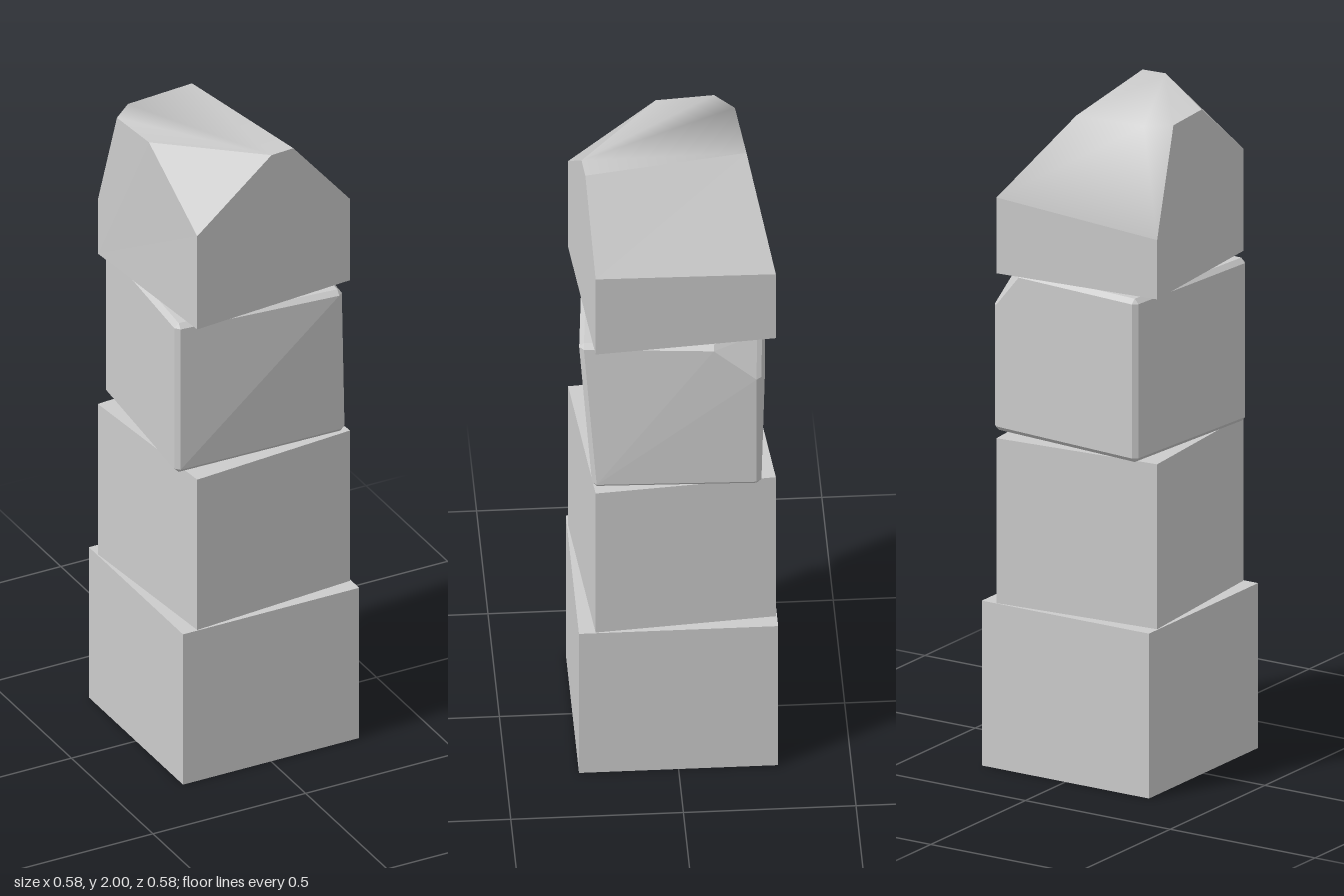
import * as THREE from 'three';
import { ConvexGeometry } from 'three/addons/geometries/ConvexGeometry.js';

const TWIST = 0.0855; // each upper block is turned a little on the stack
const HALF = 0.2635;

const grey = (flatShading = false) => new THREE.MeshStandardMaterial({ color: 0xcccccc, flatShading });

function addMesh(parent, name, geometry, flat) {
  const mesh = new THREE.Mesh(geometry, grey(flat));
  mesh.name = name;
  parent.add(mesh);
  return mesh;
}

// Fans polygons, listed as vertex names, into an indexed geometry
function polygons(points, faces) {
  const names = Object.keys(points);
  const index = [];
  for (const face of faces) {
    const ids = face.split(' ').map((n) => names.indexOf(n));
    for (let i = 1; i < ids.length - 1; i++) index.push(ids[0], ids[i], ids[i + 1]);
  }
  const geometry = new THREE.BufferGeometry();
  geometry.setAttribute('position', new THREE.Float32BufferAttribute(names.flatMap((n) => points[n]), 3));
  geometry.setIndex(index);
  geometry.computeVertexNormals();
  return geometry;
}

// Block with narrow chamfers: three points around every corner
function chamferedHull(corners, midY, bevel) {
  const points = [];
  for (const c of corners) {
    const inward = [-Math.sign(c[0]), -Math.sign(c[1] - midY), -Math.sign(c[2])];
    for (let keep = 0; keep < 3; keep++) {
      points.push(new THREE.Vector3(...c.map((v, i) => (i === keep ? v : v + inward[i] * bevel))));
    }
  }
  return new ConvexGeometry(points);
}

function createCapBlock() {
  const group = new THREE.Group();
  group.name = 'capBlock';
  const points = {
    // bottom corners
    flB: [-0.24, 1.5, 0.285], frB: [0.285, 1.5, 0.24], brB: [0.24, 1.5, -0.285], blB: [-0.285, 1.5, -0.24],
    // upper wall corners
    flT: [-0.24, 1.81, 0.285], frT: [0.285, 1.77, 0.24], brT: [0.24, 1.73, -0.285], blT: [-0.285, 1.68, -0.24],
    // rim of the flat top
    t0: [0.015, 2, 0.263], t1: [0.09, 2, 0.257], t2: [0.01, 2, -0.215],
    t3: [-0.21, 2, -0.196], t4: [-0.276, 2, -0.14], t5: [-0.262, 2, 0.03],
  };
  addMesh(group, 'capWallsAndCuts', polygons(points, [
    'flB frB frT t1 t0 flT', // front
    'frB brB brT frT', // +x wall
    'brB blB blT brT', // back
    'blB flB flT t5 t4 blT', // -x wall
    'flT t0 t5', // front corner cut
    'frT brT t2 t1', // side slope
    'blB brB frB flB', // underside
  ]), true);
  // Worn top that rolls softly over the back
  addMesh(group, 'capWornTop', polygons(points, [
    't0 t1 t2 t3 t4 t5', 'brT blT t3 t2', 'blT t4 t3',
  ]), false);
  return group;
}

export function createModel() {
  const model = new THREE.Group();
  model.name = 'stonePillar';

  const base = addMesh(model, 'baseBlock', new THREE.BoxGeometry(0.577, 0.5, 0.577));
  base.position.y = 0.25;

  const second = addMesh(model, 'secondBlock', new THREE.BoxGeometry(HALF * 2, 0.5, HALF * 2));
  second.position.y = 0.75;
  second.rotation.y = TWIST;

  // Chipped third block: skewed front corner and a knocked-off back corner
  const h = HALF;
  const third = addMesh(model, 'chippedBlock', chamferedHull([
    [-h, 1.005, h], [0.288, 1.005, 0.226], [h, 1.005, -h], [-h, 1.005, -h],
    [-h, 1.5, h], [h, 1.5, h], [-h, 1.5, -h],
    [h, 1.4, -h], [h, 1.5, -0.14], [0.18, 1.5, -h],
  ], 1.25, 0.014), true);
  third.rotation.y = -TWIST;

  model.add(createCapBlock());
  return model;
}
